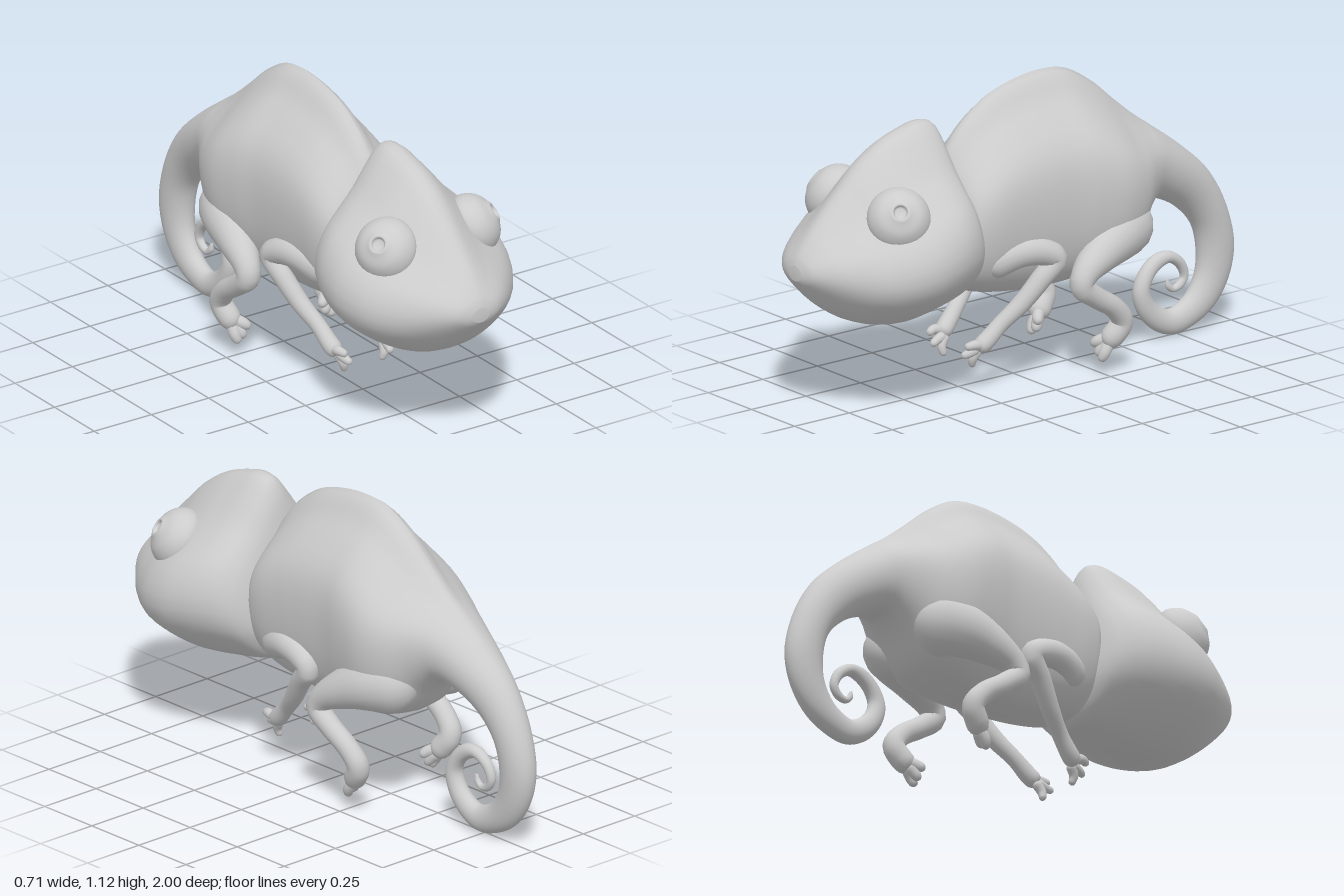
import * as THREE from 'three';
import { mergeVertices } from 'three/addons/utils/BufferGeometryUtils.js';

const material = new THREE.MeshStandardMaterial({ color: 0xcccccc });
const v3 = (p) => new THREE.Vector3(...p);

function addMesh(parent, name, geometry) {
  const mesh = new THREE.Mesh(geometry, material);
  mesh.name = name;
  parent.add(mesh);
  return mesh;
}

function smooth(geometry) {
  geometry.deleteAttribute('uv');
  geometry.deleteAttribute('normal');
  const merged = mergeVertices(geometry, 1e-5);
  merged.computeVertexNormals();
  return merged;
}

// Closed outline from a half outline given top to bottom as [side 0..1, height 0..1]
const HALF = 32;
function outline(points) {
  const curve = new THREE.SplineCurve(points.map((p) => new THREE.Vector2(...p)));
  const half = curve.getSpacedPoints(HALF);
  const mirrored = half.slice(1, -1).reverse().map((p) => new THREE.Vector2(-p.x, p.y));
  return [...half, ...mirrored];
}
const blend = (from, to, k) => from.map((p, i) => p.clone().lerp(to[i], k));

// Skin over rows of [outer z, outer y, inner z, inner y, half width], running front to back
function loft(rows, steps, shapeAt) {
  const outer = new THREE.CatmullRomCurve3(rows.map((r) => new THREE.Vector3(r[4], r[1], r[0])));
  const inner = new THREE.CatmullRomCurve3(rows.map((r) => new THREE.Vector3(0, r[3], r[2])));
  const n = (rows.length - 1) * steps;
  const count = HALF * 2;
  const positions = [];
  const index = [];
  for (let i = -1; i <= n + 1; i++) {
    const t = Math.min(Math.max(i / n, 0), 1);
    const a = outer.getPoint(t);
    const b = inner.getPoint(t);
    const capped = i < 0 || i > n;
    const shape = shapeAt(t * (rows.length - 1));
    for (const s of shape) {
      const v = capped ? 0.5 : s.y;
      positions.push(capped ? 0 : a.x * s.x, b.y + (a.y - b.y) * v, b.z + (a.z - b.z) * v);
    }
  }
  for (let i = 0; i < n + 2; i++) {
    for (let j = 0; j < count; j++) {
      const k = (j + 1) % count;
      const a = i * count + j, b = i * count + k;
      index.push(a, b, a + count, b, b + count, a + count);
    }
  }
  const geometry = new THREE.BufferGeometry();
  geometry.setAttribute('position', new THREE.Float32BufferAttribute(positions, 3));
  geometry.setIndex(index);
  return smooth(geometry);
}

// Tube through [x, y, z, radius] points with rounded ends
function limb(points, side, segments = 56, sides = 18) {
  const curve = new THREE.CatmullRomCurve3(points.map((p) => new THREE.Vector3(p[0] * side, p[1], p[2])));
  const radii = new THREE.SplineCurve(points.map((p, i) => new THREE.Vector2(i, p[3])));
  const length = curve.getLength();
  const geometry = new THREE.TubeGeometry(curve, segments, 1, sides);
  const pos = geometry.attributes.position;
  const normal = geometry.attributes.normal;
  for (let i = 0; i <= segments; i++) {
    const u = i / segments;
    const center = curve.getPointAt(u);
    let r = radii.getPoint(curve.getUtoTmapping(u)).y;
    const d = Math.min(u, 1 - u) * length;
    if (d < r) r *= Math.sqrt(Math.max(0, 1 - (1 - d / r) ** 2));
    for (let j = 0; j <= sides; j++) {
      const k = i * (sides + 1) + j;
      const p = new THREE.Vector3().fromBufferAttribute(normal, k).multiplyScalar(r).add(center);
      pos.setXYZ(k, p.x, p.y, p.z);
    }
  }
  return smooth(geometry);
}

const headShape = outline([[0, 1], [0.11, 0.98], [0.28, 0.885], [0.46, 0.775], [0.67, 0.675], [0.85, 0.585],
  [0.96, 0.485], [1, 0.38], [0.96, 0.293], [0.84, 0.205], [0.56, 0.09], [0.28, 0.018], [0, 0]]);
const bodyShape = outline([[0, 1], [0.14, 0.968], [0.32, 0.89], [0.59, 0.8], [0.82, 0.71], [0.96, 0.61],
  [1, 0.47], [0.93, 0.28], [0.75, 0.13], [0.42, 0.03], [0, 0]]);
const roundShape = outline(Array.from({ length: 13 }, (_, i) => {
  const a = (i / 12) * Math.PI;
  return [Math.sin(a), 0.5 + 0.5 * Math.cos(a)];
}));

const headRows = [
  [1, 0.605, 1, 0.55, 0.035], [0.985, 0.64, 0.985, 0.53, 0.085], [0.94, 0.7, 0.94, 0.483, 0.15],
  [0.87, 0.775, 0.87, 0.42, 0.22], [0.79, 0.855, 0.79, 0.368, 0.285], [0.7, 0.94, 0.7, 0.337, 0.335],
  [0.6, 1, 0.6, 0.325, 0.357], [0.52, 1.028, 0.52, 0.332, 0.352], [0.44, 1.045, 0.44, 0.343, 0.33],
  [0.385, 1.033, 0.365, 0.355, 0.295], [0.35, 0.98, 0.31, 0.37, 0.25], [0.323, 0.87, 0.275, 0.41, 0.185],
  [0.3, 0.74, 0.26, 0.5, 0.09],
];
const bodyRows = [
  [0.34, 0.8, 0.34, 0.45, 0.08], [0.31, 0.9, 0.31, 0.4, 0.18], [0.24, 0.99, 0.24, 0.365, 0.21],
  [0.12, 1.075, 0.12, 0.338, 0.218], [0, 1.112, 0, 0.325, 0.222], [-0.12, 1.125, -0.12, 0.32, 0.23],
  [-0.23, 1.11, -0.22, 0.328, 0.25], [-0.35, 1.04, -0.33, 0.345, 0.26], [-0.46, 0.945, -0.43, 0.39, 0.23],
  [-0.55, 0.87, -0.52, 0.5, 0.175],
];
const tailRows = [
  [-0.62, 0.82, -0.585, 0.545, 0.14], [-0.76, 0.715, -0.68, 0.52, 0.105], [-0.88, 0.6, -0.77, 0.46, 0.08],
  [-0.96, 0.46, -0.83, 0.385, 0.068], [-1, 0.3, -0.85, 0.29, 0.06], [-0.975, 0.17, -0.84, 0.205, 0.052],
  [-0.905, 0.07, -0.8, 0.14, 0.046], [-0.8, 0.013, -0.755, 0.11, 0.041], [-0.72, 0.002, -0.715, 0.1, 0.038],
  [-0.635, 0.04, -0.67, 0.12, 0.036], [-0.575, 0.11, -0.635, 0.155, 0.034], [-0.555, 0.19, -0.62, 0.2, 0.032],
  [-0.585, 0.265, -0.64, 0.24, 0.029], [-0.645, 0.315, -0.675, 0.265, 0.026], [-0.715, 0.32, -0.71, 0.275, 0.024],
  [-0.78, 0.275, -0.75, 0.25, 0.02], [-0.8, 0.215, -0.768, 0.212, 0.017], [-0.775, 0.17, -0.755, 0.195, 0.015],
  [-0.73, 0.16, -0.733, 0.185, 0.013], [-0.7, 0.185, -0.718, 0.2, 0.01], [-0.7, 0.215, -0.712, 0.212, 0.005],
];

// Domed eye with a raised ring round the pupil, turned along +y
const eyeProfile = [[0, -0.1], [0.055, -0.09], [0.097, -0.06], [0.115, -0.02], [0.109, 0.015], [0.083, 0.05],
  [0.047, 0.07], [0.034, 0.077], [0.026, 0.076], [0.02, 0.065], [0, 0.062]];

const frontLeg = [[0.1, 0.47, 0.23, 0.07], [0.14, 0.505, 0.18, 0.068], [0.175, 0.525, 0.1, 0.058],
  [0.195, 0.51, 0.01, 0.05], [0.205, 0.48, -0.035, 0.043], [0.19, 0.41, 0.02, 0.038], [0.16, 0.32, 0.09, 0.034],
  [0.13, 0.25, 0.16, 0.03], [0.115, 0.19, 0.22, 0.033], [0.105, 0.165, 0.255, 0.03]];
const frontToes = [
  [[0.115, 0.18, 0.23, 0.02], [0.118, 0.19, 0.27, 0.018], [0.105, 0.183, 0.305, 0.013]],
  [[0.1, 0.17, 0.235, 0.02], [0.095, 0.155, 0.275, 0.017], [0.085, 0.145, 0.305, 0.012]],
  [[0.1, 0.17, 0.23, 0.02], [0.09, 0.13, 0.255, 0.017], [0.08, 0.095, 0.25, 0.012]],
];
const hindLeg = [[0.06, 0.53, -0.47, 0.11], [0.11, 0.52, -0.42, 0.12], [0.165, 0.505, -0.34, 0.108],
  [0.212, 0.46, -0.23, 0.075], [0.235, 0.405, -0.145, 0.05], [0.24, 0.365, -0.125, 0.044], [0.24, 0.31, -0.19, 0.04],
  [0.235, 0.25, -0.28, 0.039], [0.225, 0.19, -0.322, 0.041], [0.21, 0.135, -0.29, 0.042], [0.19, 0.1, -0.265, 0.034]];
const hindToes = [
  [[0.2, 0.13, -0.28, 0.024], [0.173, 0.115, -0.25, 0.021], [0.152, 0.098, -0.24, 0.015]],
  [[0.2, 0.12, -0.28, 0.024], [0.185, 0.085, -0.255, 0.021], [0.178, 0.06, -0.245, 0.015]],
  [[0.205, 0.12, -0.28, 0.024], [0.21, 0.08, -0.255, 0.021], [0.2, 0.047, -0.242, 0.015]],
];

export function createModel() {
  const model = new THREE.Group();
  model.name = 'chameleon';

  // Peaked head with a rounder snout
  addMesh(model, 'head', loft(headRows, 6, (row) =>
    blend(headShape, roundShape, 0.75 * (1 - THREE.MathUtils.smoothstep(row, 0, 5)))));

  // Body section rounds off into the curled tail
  addMesh(model, 'bodyAndTail', loft([...bodyRows, ...tailRows], 5, (row) =>
    blend(bodyShape, roundShape, THREE.MathUtils.smoothstep(row, 7, 12))));

  const eyeCurve = new THREE.SplineCurve(eyeProfile.map((p) => new THREE.Vector2(...p)));
  const eyePoints = eyeCurve.getPoints(40).map((p) => new THREE.Vector2(Math.max(p.x, 0), p.y));

  for (const side of [1, -1]) {
    const label = side > 0 ? 'left' : 'right';

    const eye = addMesh(model, label + 'Eye', new THREE.LatheGeometry(eyePoints, 32));
    eye.position.set(0.2 * side, 0.775, 0.68);
    eye.quaternion.setFromUnitVectors(v3([0, 1, 0]), v3([0.7 * side, 0.53, 0.45]).normalize());

    for (const [name, leg, toes] of [['FrontLeg', frontLeg, frontToes], ['HindLeg', hindLeg, hindToes]]) {
      const group = new THREE.Group();
      group.name = label + name;
      addMesh(group, 'leg', limb(leg, side));
      for (const toe of toes) addMesh(group, 'toe', limb(toe, side, 16, 10));
      model.add(group);
    }
  }
  return model;
}
